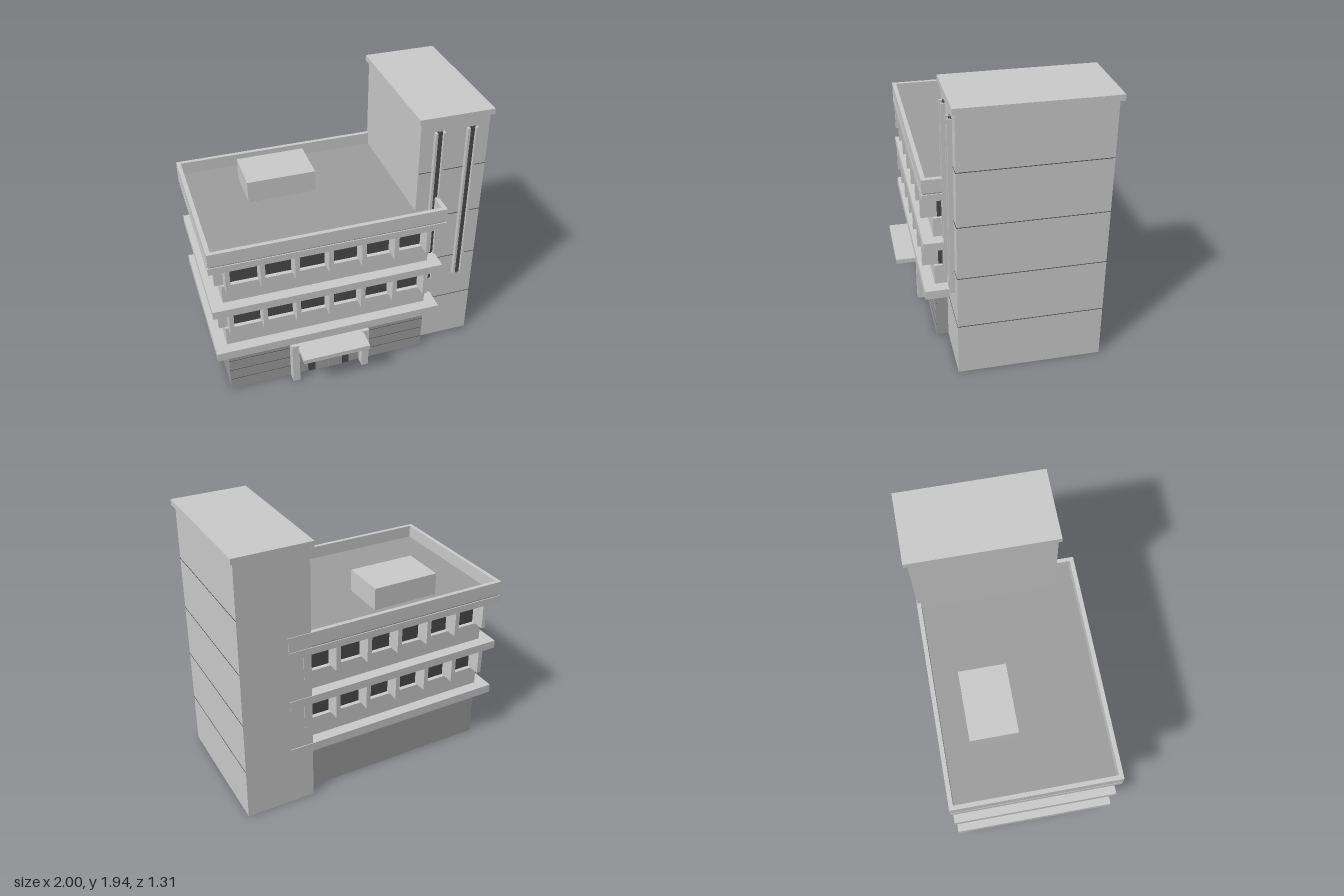
import * as THREE from 'three';

const mat = (color) => new THREE.MeshStandardMaterial({ color });

export function createModel() {
  const root = new THREE.Group();
  root.name = 'officeBuilding';
  const pale = mat(0xcccccc), wall = mat(0x9e9e9e), dark = mat(0x4c4c4c);

  const group = (name) => {
    const g = new THREE.Group();
    g.name = name;
    root.add(g);
    return g;
  };
  // box given by its extents on each axis
  const box = (name, [x0, x1], [y0, y1], [z0, z1], material = pale, parent = root) => {
    const m = new THREE.Mesh(new THREE.BoxGeometry(x1 - x0, y1 - y0, z1 - z0), material);
    m.position.set((x0 + x1) / 2, (y0 + y1) / 2, (z0 + z1) / 2);
    m.name = name;
    parent.add(m);
    return m;
  };

  const bodyX = [-0.915, 0.562], bodyZ = [-0.555, 0.44];
  const slabX = [-1, 0.645], slabZ = [-0.635, 0.52];

  // ground floor with thin front courses
  const ground = group('groundFloor');
  box('groundWall', bodyX, [0, 0.38], bodyZ, wall, ground);
  for (const y of [0.09, 0.18, 0.27]) {
    box('wallCourse', bodyX, [y, y + 0.003], [0.43, 0.441], dark, ground);
  }

  // floor slabs
  for (const y of [[0.38, 0.445], [0.77, 0.83], [1.15, 1.2]]) box('floorSlab', slabX, y, slabZ);

  // two upper storeys: sill wall, recessed glazing and projecting fins
  for (const [y0, sill, top] of [[0.445, 0.592, 0.77], [0.83, 0.97, 1.15]]) {
    const storey = group('upperStorey');
    box('sillWall', bodyX, [y0, sill], bodyZ, pale, storey);
    box('glazing', [-0.895, 0.542], [sill, top], [-0.525, 0.41], dark, storey);
    const y = [sill, top];
    for (let i = 0; i < 7; i++) {
      const x = -0.88 + i * 0.234;
      const xs = [x - 0.016, x + 0.016];
      box('frontFin', xs, y, [0.405, 0.52], pale, storey);
      box('backFin', xs, y, [-0.635, -0.52], pale, storey);
    }
    for (let i = 0; i < 5; i++) {
      const z = 0.405 - i * 0.23;
      box('sideFin', [-0.957, -0.885], y, [z - 0.016, z + 0.016], pale, storey);
    }
  }

  // roof deck, parapet ring and rooftop plant box
  box('roofDeck', [-0.992, 0.637], [1.2, 1.218], [-0.627, 0.512], wall);
  const rect = (shape, x0, x1, z0, z1) => shape.moveTo(x0, -z0).lineTo(x0, -z1)
    .lineTo(x1, -z1).lineTo(x1, -z0).closePath();
  const ring = rect(new THREE.Shape(), ...slabX, ...slabZ);
  ring.holes.push(rect(new THREE.Path(), -0.97, 0.615, -0.605, 0.49));
  const parapet = new THREE.Mesh(
    new THREE.ExtrudeGeometry(ring, { depth: 0.097, bevelEnabled: false }), pale);
  parapet.rotation.x = -Math.PI / 2;
  parapet.position.y = 1.213;
  parapet.name = 'parapet';
  root.add(parapet);
  box('roofPlant', [-0.588, -0.098], [1.21, 1.38], [-0.43, -0.102]);

  // stair tower with cap and storey seams
  const tower = group('stairTower');
  box('towerShaft', [0.483, 0.975], [0, 1.9], [-0.63, 0.355], pale, tower);
  box('towerCap', [0.465, 0.995], [1.9, 1.94], [-0.655, 0.375], pale, tower);
  for (const y of [0.38, 0.76, 1.14, 1.52]) {
    box('towerSeam', [0.49, 0.977], [y - 0.002, y + 0.002], [-0.629, 0.357], dark, tower);
  }

  // tall slit windows with jambs and a centre mullion
  for (const x of [0.614, 0.845]) {
    const y = [0.59, 1.825];
    box('slitGlass', [x - 0.03, x + 0.03], y, [0.35, 0.365], dark, tower);
    box('slitMullion', [x - 0.004, x + 0.004], y, [0.35, 0.37], dark, tower);
    for (const s of [-1, 1]) {
      const c = x + s * 0.028;
      box('slitJamb', [c - 0.008, c + 0.008], y, [0.35, 0.385], pale, tower);
    }
  }

  // entrance: piers, canopy, surround, double door and handles
  const entrance = group('entrance');
  const cx = -0.178;
  for (const s of [-1, 1]) {
    const c = cx + s * 0.264;
    box('entrancePier', [c - 0.026, c + 0.026], [0, 0.345], [0.43, 0.512], pale, entrance);
    const d = cx + s * 0.052;
    box('doorLeaf', [d - 0.051, d + 0.051], [0, 0.247], [0.43, 0.449], wall, entrance);
    const h = cx + s * 0.017;
    box('doorHandle', [h - 0.003, h + 0.003], [0.095, 0.135], [0.445, 0.456], dark, entrance);
  }
  box('doorSurround', [-0.335, -0.021], [0, 0.302], [0.43, 0.445], dark, entrance);
  box('entranceCanopy', [-0.423, 0.068], [0.302, 0.337], [0.43, 0.655], pale, entrance);

  return root;
}
